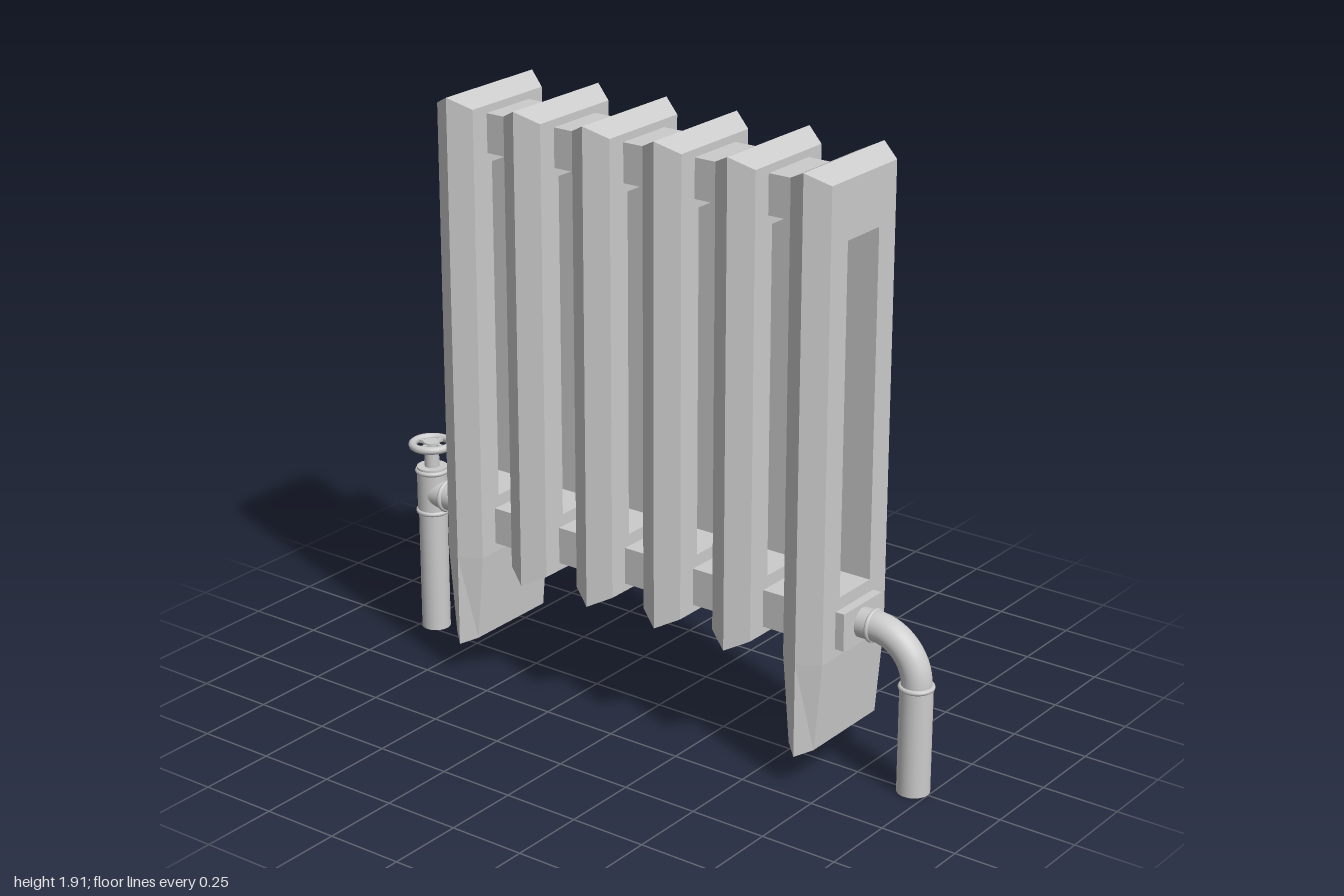
import * as THREE from 'three';

const grey = new THREE.MeshStandardMaterial({ color: 0xcccccc });
const D = 0.07; // half depth of a fin

function add(parent, name, geometry, x = 0, y = 0, z = 0) {
  const mesh = new THREE.Mesh(geometry, grey);
  mesh.name = name;
  mesh.position.set(x, y, z);
  parent.add(mesh);
  return mesh;
}

// Flat-shaded geometry from quads
function quadGeometry(quads) {
  const pos = [];
  for (const [a, b, c, d] of quads) pos.push(...a, ...b, ...c, ...a, ...c, ...d);
  const g = new THREE.BufferGeometry();
  g.setAttribute('position', new THREE.Float32BufferAttribute(pos, 3));
  g.computeVertexNormals();
  return g;
}

// Quads joining two loops of equal length
const bridge = (a, b) => a.map((p, i) => {
  const j = (i + 1) % a.length;
  return [p, b[i], b[j], a[j]];
});

const rect = (w, y0, y1, z) => [[-w, y0, z], [w, y0, z], [w, y1, z], [-w, y1, z]];

// Rectangular frame with a ridge around its outer edge
function finGeometry(faceBottom, ridgeBottom) {
  const loops = [
    rect(0.08, 0.6, 1.7, D),
    rect(0.165, faceBottom, 1.88, D),
    rect(0.205, ridgeBottom, 1.915, 0),
    rect(0.165, faceBottom, 1.88, -D),
    rect(0.08, 0.6, 1.7, -D),
  ];
  return quadGeometry(loops.flatMap((l, i) => bridge(l, loops[(i + 1) % loops.length])));
}

// Tapering foot below an end fin
function footGeometry(top) {
  const section = (yFace, yRidge, d) => [
    [-0.165, yFace, d], [0.165, yFace, d], [0.205, yRidge, 0],
    [0.165, yFace, -d], [-0.165, yFace, -d], [-0.205, yRidge, 0],
  ];
  const L = section(0.125, 0.105, 0.045);
  return quadGeometry([
    ...bridge(section(top, top, D), L),
    [L[0], L[5], L[2], L[1]],
    [L[5], L[4], L[3], L[2]],
  ]);
}

const cylinder = (r, h) => new THREE.CylinderGeometry(r, r, h, 32);
const ring = (r, t) => new THREE.TorusGeometry(r, t, 10, 40);

// Horizontal collar around a vertical pipe
function collar(parent, name, y, z) {
  add(parent, name, ring(0.048, 0.008), 0, y, z).rotation.x = Math.PI / 2;
}

export function createModel() {
  const model = new THREE.Group();
  model.name = 'radiator';

  // Fins, the outer two with feet
  for (let i = 0; i < 6; i++) {
    const z = 0.003 + (i - 2.5) * 0.26;
    const isEnd = i === 0 || i === 5;
    const fin = new THREE.Group();
    fin.name = isEnd ? 'endFin' : 'fin';
    fin.position.z = z;
    add(fin, 'finFrame', isEnd ? finGeometry(0.41, 0.41) : finGeometry(0.415, 0.38));
    if (isEnd) add(fin, 'foot', footGeometry(0.41));
    model.add(fin);
  }

  // Manifolds joining the fins
  add(model, 'upperManifold', new THREE.BoxGeometry(0.2, 0.125, 1.3), 0, 1.793, 0.003);
  add(model, 'lowerManifold', new THREE.BoxGeometry(0.2, 0.12, 1.5), 0, 0.5, 0.003);

  // Front pipe: riser, elbow and collars
  const outlet = new THREE.Group();
  outlet.name = 'outletPipe';
  model.add(outlet);
  const pz = 0.948;
  add(outlet, 'riser', cylinder(0.051, 0.345), 0, 0.1725, pz);
  const path = new THREE.CurvePath();
  const v = (y, z) => new THREE.Vector3(0, y, z);
  path.add(new THREE.LineCurve3(v(0.33, pz), v(0.35, pz)));
  const k = 0.15 * 0.5523;
  path.add(new THREE.CubicBezierCurve3(v(0.35, pz), v(0.35 + k, pz), v(0.5, pz - 0.15 + k), v(0.5, pz - 0.15)));
  path.add(new THREE.LineCurve3(v(0.5, pz - 0.15), v(0.5, 0.74)));
  add(outlet, 'elbow', new THREE.TubeGeometry(path, 48, 0.047, 28, false));
  collar(outlet, 'riserCollar', 0.345, pz);
  add(outlet, 'elbowCollar', ring(0.046, 0.007), 0, 0.5, 0.795);

  // Back pipe: riser, tee, stem and handwheel
  const valve = new THREE.Group();
  valve.name = 'valve';
  model.add(valve);
  const vz = -0.925;
  add(valve, 'riser', cylinder(0.047, 0.42), 0, 0.23, vz);
  add(valve, 'teeBody', cylinder(0.05, 0.155), 0, 0.512, vz);
  add(valve, 'teeBranch', cylinder(0.047, 0.19), 0, 0.5, -0.83).rotation.x = Math.PI / 2;
  collar(valve, 'lowerCollar', 0.435, vz);
  collar(valve, 'upperCollar', 0.575, vz);
  add(valve, 'branchCollar', ring(0.047, 0.008), 0, 0.5, -0.858);
  add(valve, 'stem', cylinder(0.024, 0.085), 0, 0.625, vz);

  const wheel = new THREE.Group();
  wheel.name = 'handwheel';
  wheel.position.set(0, 0.665, vz);
  valve.add(wheel);
  add(wheel, 'rim', ring(0.062, 0.013)).rotation.x = Math.PI / 2;
  add(wheel, 'hub', cylinder(0.027, 0.02));
  for (let i = 0; i < 2; i++) {
    add(wheel, 'spoke', new THREE.BoxGeometry(0.12, 0.01, 0.012)).rotation.y = i * Math.PI / 2;
  }

  return model;
}
